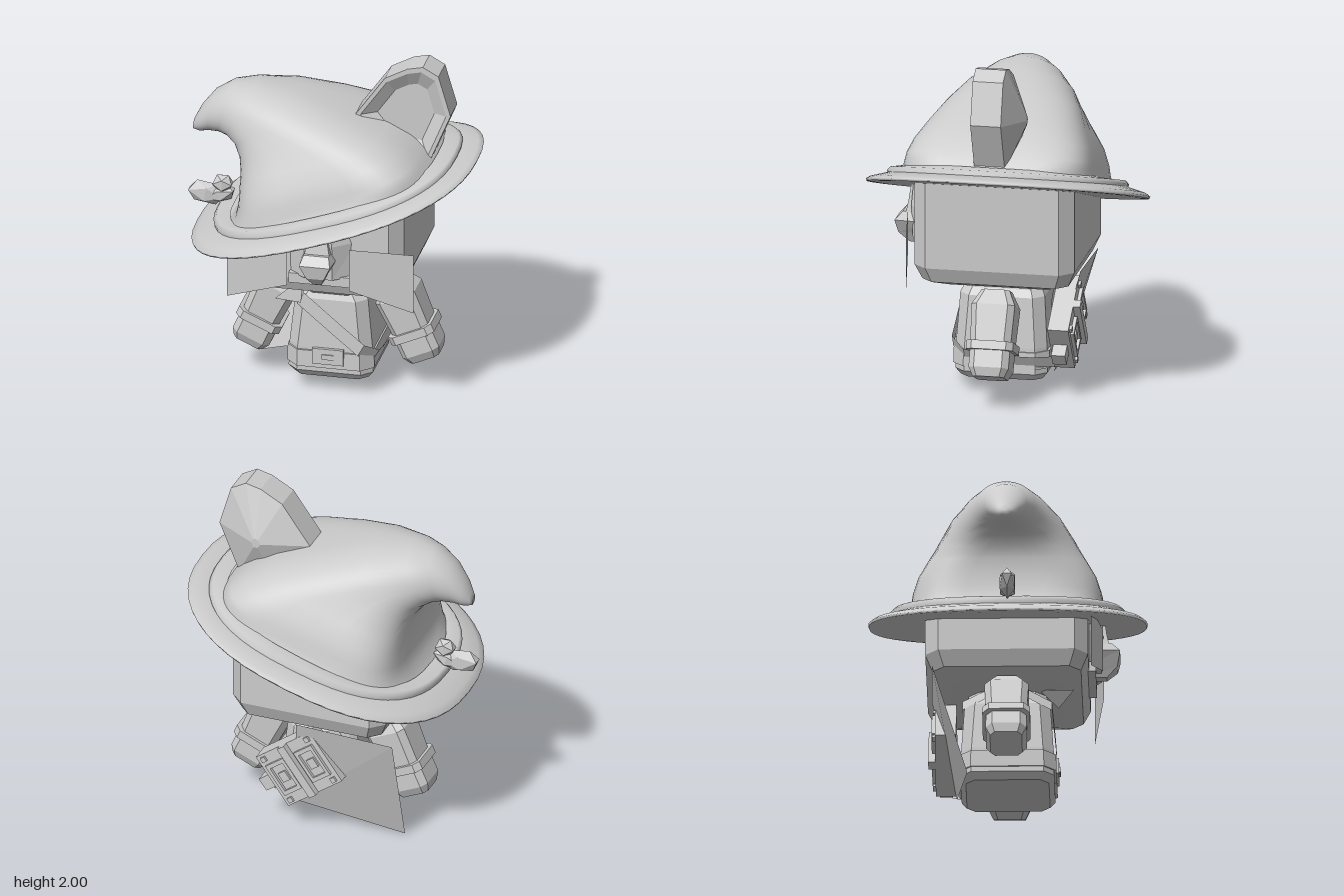
import * as THREE from 'three';

const grey = new THREE.MeshStandardMaterial({ color: 0xcccccc });
grey.name = 'plainGrey';
const greySheet = new THREE.MeshStandardMaterial({ color: 0xcccccc, side: THREE.DoubleSide });
greySheet.name = 'plainGreySheet';

const CX = 0.035; // centre line of the body
const V = (x, y, z) => new THREE.Vector3(x, y, z);

function add(parent, name, geometry, material = grey, x = 0, y = 0, z = 0) {
  const mesh = new THREE.Mesh(geometry, material);
  mesh.name = name;
  mesh.position.set(x, y, z);
  parent.add(mesh);
  return mesh;
}

function finish(points, index, smooth) {
  let g = new THREE.BufferGeometry();
  g.setAttribute('position', new THREE.Float32BufferAttribute(points.flatMap((p) => [p.x, p.y, p.z]), 3));
  g.setIndex(index);
  if (!smooth) g = g.toNonIndexed();
  g.computeVertexNormals();
  return g;
}

// Skin over a stack of equal-length rings, closed at the chosen ends
function loft(rings, { smooth = false, start = true, end = true } = {}) {
  const n = rings[0].length;
  const collapse = (r) => {
    const c = r.reduce((s, p) => s.add(p), V(0, 0, 0)).divideScalar(n);
    return r.map(() => c.clone());
  };
  const all = [...rings];
  if (start) all.unshift(collapse(rings[0]));
  if (end) all.push(collapse(rings[rings.length - 1]));
  const index = [];
  for (let i = 0; i < all.length - 1; i++) {
    for (let j = 0; j < n; j++) {
      const k = (j + 1) % n;
      const a = i * n + j, b = (i + 1) * n + j, c = i * n + k, d = (i + 1) * n + k;
      if (!(start && i === 0)) index.push(a, b, c);
      else index.push(a, b, d);
      if (!(start && i === 0) && !(end && i === all.length - 2)) index.push(b, d, c);
    }
  }
  return finish(all.flat(), index, smooth);
}

// Rectangle with cut corners, lying level at height y
function chamferRing(hx, hz, c, y, x = 0, z = 0) {
  return [[hx, -hz + c], [hx, hz - c], [hx - c, hz], [-hx + c, hz],
    [-hx, hz - c], [-hx, -hz + c], [-hx + c, -hz], [hx - c, -hz]].map(([a, b]) => V(x + a, y, z + b));
}

// Tilted ring from left point to right point, with half depth d and squareness e
function hatRing([lx, ly, rx, ry, d, e]) {
  const pts = [];
  for (let j = 0; j < 48; j++) {
    const t = (j / 48) * Math.PI * 2;
    const f = (v) => Math.sign(v) * Math.pow(Math.abs(v), 2 / e);
    const c = f(Math.cos(t)), s = f(Math.sin(t));
    pts.push(V((lx + rx) / 2 + ((rx - lx) / 2) * c, (ly + ry) / 2 + ((ry - ly) / 2) * c, d * s));
  }
  return pts;
}

function sheet(a, b, c, d) {
  return finish(d ? [a, b, c, d] : [a, b, c], d ? [0, 1, 2, 0, 2, 3] : [0, 1, 2], false);
}

function buildHat(root) {
  const hat = new THREE.Group();
  hat.name = 'hat';
  root.add(hat);
  add(hat, 'hatBrim', loft([
    [-0.73, 0.88, 0.79, 1.39, 0.74, 2.4],
    [-0.78, 0.867, 0.835, 1.405, 0.785, 2.4],
    [-0.785, 0.88, 0.84, 1.42, 0.79, 2.4],
    [-0.75, 0.915, 0.81, 1.425, 0.765, 2.4],
    [-0.64, 0.98, 0.70, 1.42, 0.66, 2.5],
  ].map(hatRing), { smooth: true }));
  add(hat, 'hatBand', loft([
    [-0.65, 0.96, 0.715, 1.405, 0.665, 2.5],
    [-0.66, 0.995, 0.72, 1.43, 0.67, 2.5],
    [-0.645, 1.02, 0.70, 1.447, 0.65, 2.5],
    [-0.56, 1.03, 0.61, 1.44, 0.57, 2.8],
  ].map(hatRing), { smooth: true, start: false, end: false }), greySheet);
  add(hat, 'hatCrown', loft([
    [-0.55, 1.01, 0.61, 1.42, 0.565, 3.6],
    [-0.505, 1.07, 0.575, 1.455, 0.545, 4.4],
    [-0.485, 1.15, 0.54, 1.49, 0.535, 4.6],
    [-0.485, 1.25, 0.46, 1.55, 0.505, 4.3],
    [-0.49, 1.33, 0.33, 1.615, 0.455, 3.7],
    [-0.51, 1.39, 0.06, 1.70, 0.385, 3.0],
    [-0.55, 1.44, -0.20, 1.765, 0.31, 2.4],
    [-0.60, 1.457, -0.44, 1.785, 0.225, 2.1],
    [-0.65, 1.46, -0.57, 1.768, 0.165, 2],
    [-0.71, 1.455, -0.68, 1.70, 0.12, 2],
    [-0.765, 1.443, -0.757, 1.60, 0.08, 2],
    [-0.805, 1.45, -0.797, 1.52, 0.04, 2],
  ].map(hatRing), { smooth: true, start: false }));

  // Ornament on the lower side of the hat
  const ornament = [['ornamentBud', -0.635, 1.125, 0.065, 0.06, 0], ['ornamentLeaf', -0.73, 1.06, 0.12, 0.075, -0.15],
    ['ornamentLeaf', -0.65, 1.06, 0.1, 0.055, 0.35]];
  for (const [name, x, y, a, b, r] of ornament) {
    const piece = add(hat, name, new THREE.IcosahedronGeometry(1, 0), grey, x, y, 0.01);
    piece.scale.set(a, b, 0.05);
    piece.rotation.z = r;
  }
}

function buildEar(root) {
  const outline = [[0.15, 1.67], [0.32, 1.91], [0.45, 1.98], [0.54, 2.0], [0.63, 1.95],
    [0.70, 1.71], [0.58, 1.42], [0.35, 1.42]];
  const ring = (s, z) => outline.map(([x, y]) => V(0.44 + (x - 0.44) * s, 1.68 + (y - 1.68) * s, z));
  add(root, 'ear', loft([ring(0.1, -0.19), ring(1, -0.09), ring(1, 0.085), ring(0.9, 0.085), ring(0.6, 0.035)]));
}

function buildHead(root) {
  const head = new THREE.Group();
  head.name = 'head';
  root.add(head);
  // The top of the skull follows the tilt of the brim
  const top = chamferRing(0.465, 0.46, 0.075, 0, CX);
  top.forEach((p) => { p.y = 1.16 + 0.336 * (p.x - 0.03); });
  add(head, 'skull', loft([
    chamferRing(0.32, 0.32, 0.05, 0.66, CX), chamferRing(0.425, 0.42, 0.065, 0.7, CX),
    chamferRing(0.465, 0.46, 0.075, 0.79, CX), top]));
  // Snout parts taper forwards to the share k of their width
  const snout = (k, rows) => loft(rows.map(([y, hx, zf]) => [V(CX + hx, y, 0.44), V(CX + hx * k, y, zf),
    V(CX - hx * k, y, zf), V(CX - hx, y, 0.44)]));
  add(head, 'nose', snout(0.85, [[0.81, 0.03, 0.56], [0.87, 0.06, 0.62], [0.95, 0.105, 0.635], [1.0, 0.085, 0.59]]));
  add(head, 'snoutBridge', snout(0.85, [[0.96, 0.095, 0.58], [1.06, 0.07, 0.56], [1.15, 0.055, 0.548], [1.21, 0.05, 0.47]]));
  add(head, 'cheeks', snout(0.4, [[0.83, 0.2, 0.53], [1.04, 0.2, 0.54], [1.18, 0.15, 0.53], [1.21, 0.12, 0.46]]));
  add(head, 'mouth', new THREE.BoxGeometry(0.36, 0.06, 0.1), grey, CX, 0.81, 0.45);
  for (const s of [-1, 1]) {
    add(head, 'whiskers', sheet(V(CX + s * 0.18, 0.78, 0.54), V(CX + s * 0.54, 0.65, 0.48),
      V(CX + s * 0.54, 1.01, 0.48), V(CX + s * 0.18, 1.035, 0.54)), greySheet);
  }
}

function buildArm(root, s) {
  const arm = new THREE.Group();
  arm.name = s > 0 ? 'leftArm' : 'rightArm';
  arm.position.set(CX + s * 0.41, 0.405, 0);
  arm.rotation.z = s * 0.42;
  root.add(arm);
  add(arm, 'sleeve', loft([chamferRing(0.11, 0.115, 0.035, -0.1), chamferRing(0.123, 0.125, 0.035, 0.16),
    chamferRing(0.075, 0.08, 0.025, 0.25)]));
  add(arm, 'cuff', loft([chamferRing(0.135, 0.135, 0.035, -0.1), chamferRing(0.135, 0.135, 0.035, -0.05)]));
  add(arm, 'hand', loft([chamferRing(0.09, 0.09, 0.025, -0.25), chamferRing(0.115, 0.115, 0.035, -0.2),
    chamferRing(0.115, 0.115, 0.035, -0.08)]));
}

function buildBody(root) {
  const body = new THREE.Group();
  body.name = 'body';
  root.add(body);
  add(body, 'tunic', loft([
    chamferRing(0.215, 0.235, 0.05, 0.09, CX), chamferRing(0.245, 0.265, 0.06, 0.13, CX),
    chamferRing(0.24, 0.262, 0.06, 0.28, CX), chamferRing(0.21, 0.243, 0.06, 0.57, CX),
    chamferRing(0.15, 0.205, 0.05, 0.65, CX)]));
  add(body, 'collar', loft([chamferRing(0.15, 0.2, 0.06, 0.57, CX), chamferRing(0.18, 0.235, 0.07, 0.61, CX),
    chamferRing(0.165, 0.215, 0.06, 0.67, CX)]));
  add(body, 'belt', loft([chamferRing(0.252, 0.278, 0.07, 0.16, CX), chamferRing(0.25, 0.275, 0.07, 0.26, CX)]));
  add(body, 'buckle', new THREE.BoxGeometry(0.18, 0.095, 0.02), grey, CX, 0.235, 0.28);
  add(body, 'buckleStud', new THREE.BoxGeometry(0.07, 0.03, 0.015), grey, CX, 0.235, 0.29);
  add(body, 'scarfTip', sheet(V(-0.25, 0.615, 0.38), V(-0.13, 0.67, 0.18), V(-0.12, 0.56, 0.29)), greySheet);

  // Shoulder strap, a ribbon round the torso
  const path = [[0.1, 0.47, -0.265], [-0.1, 0.59, -0.255], [-0.185, 0.62, -0.12], [-0.185, 0.62, 0.12], [-0.13, 0.57, 0.252],
    [0.06, 0.42, 0.27], [0.225, 0.29, 0.28], [0.295, 0.235, 0.2], [0.3, 0.21, 0.0], [0.3, 0.21, -0.2], [0.29, 0.22, -0.32]];
  const pts = path.flatMap(([x, y, z]) => [V(x - 0.02, y - 0.035, z), V(x + 0.02, y + 0.035, z)]);
  const index = path.slice(1).flatMap((_, i) => [2 * i, 2 * i + 2, 2 * i + 1, 2 * i + 1, 2 * i + 2, 2 * i + 3]);
  add(body, 'shoulderStrap', finish(pts, index, false), greySheet);
  add(body, 'cape', sheet(V(-0.48, 0.67, -0.42), V(-0.48, 0, -0.22), V(0.15, 0.12, -0.29), V(0.1, 0.7, -0.43)), greySheet);
}

function buildBag(root) {
  const bag = new THREE.Group();
  bag.name = 'bag';
  bag.position.set(0.09, 0.4, -0.35);
  bag.rotation.z = -0.62;
  root.add(bag);
  add(bag, 'bagCase', new THREE.BoxGeometry(0.4, 0.34, 0.12));
  add(bag, 'bagClasp', new THREE.BoxGeometry(0.09, 0.08, 0.08), grey, 0.235, 0, 0);
  add(bag, 'bagStrap', new THREE.BoxGeometry(0.05, 0.34, 0.05), grey, 0, 0, -0.075);
  for (const s of [-1, 1]) {
    // Framed pocket with a small stud in the middle
    for (const t of [-1, 1]) {
      add(bag, 'pocketFrameSide', new THREE.BoxGeometry(0.13, 0.025, 0.03), grey, s * 0.105, t * 0.09, -0.065);
      add(bag, 'pocketFrameBar', new THREE.BoxGeometry(0.02, 0.18, 0.03), grey, s * 0.105 + t * 0.055, 0, -0.065);
      add(bag, 'cornerStud', new THREE.BoxGeometry(0.03, 0.03, 0.03), grey, s * 0.16, t * 0.14, -0.06);
    }
    add(bag, 'pocketStud', new THREE.BoxGeometry(0.05, 0.06, 0.03), grey, s * 0.105, 0, -0.06);
  }
}

export function createModel() {
  const root = new THREE.Group();
  root.name = 'hattedFigure';
  buildHat(root);
  buildEar(root);
  buildHead(root);
  buildBody(root);
  buildBag(root);
  for (const s of [-1, 1]) buildArm(root, s);
  return root;
}
